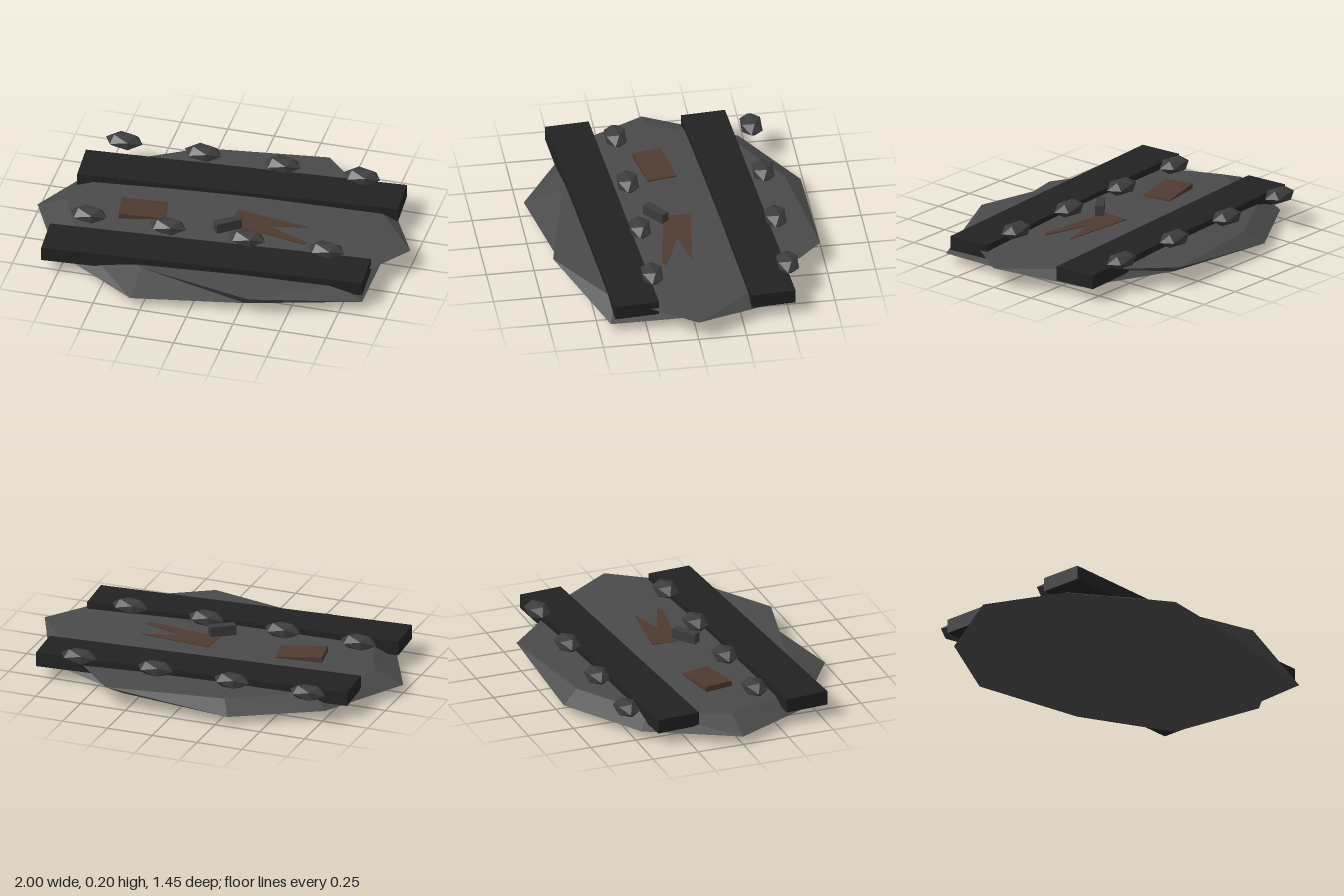
import * as THREE from 'three';

const mat = (name, color, extra = {}) => {
  const m = new THREE.MeshStandardMaterial({ color, flatShading: true, ...extra });
  m.name = name;
  return m;
};

// Rough slab: two uneven ten-sided rings, closed by a low peak above and below
function slabGeometry() {
  const upper = [[1, 0], [0.72, 0.4], [0.31, 0.66], [-0.3, 0.52], [-0.7, 0.33],
    [-0.84, 0], [-0.66, -0.4], [-0.26, -0.64], [0.37, -0.73], [0.7, -0.39]];
  const lower = [[0.86, 0], [0.86, 0.44], [0.28, 0.61], [-0.31, 0.72], [-0.8, 0.4],
    [-1, 0], [-0.75, -0.47], [-0.31, -0.73], [0.31, -0.64], [0.8, -0.42]];
  const at = (ring, i, y) => [ring[i % 10][0], y, ring[i % 10][1]];
  const top = [0, 0.13, 0], bottom = [0, 0, 0], pos = [];
  for (let i = 0; i < 10; i++) {
    const u0 = at(upper, i, 0.105), u1 = at(upper, i + 1, 0.105);
    const l0 = at(lower, i, 0.045), l1 = at(lower, i + 1, 0.045);
    pos.push(...top, ...u1, ...u0);
    pos.push(...l0, ...u0, ...u1, ...l0, ...u1, ...l1);
    pos.push(...bottom, ...l0, ...l1);
  }
  const g = new THREE.BufferGeometry();
  g.setAttribute('position', new THREE.Float32BufferAttribute(pos, 3));
  g.computeVertexNormals();
  return g;
}

export function createModel() {
  const model = new THREE.Group();
  model.name = 'trackSegment';
  const slabGrey = mat('slabGrey', 0x4a4a4a);
  const railBlack = mat('railBlack', 0x222222);
  const stoneGrey = mat('stoneGrey', 0x3c3c3c);
  const rustBrown = mat('rustBrown', 0x4e3a30);

  const add = (name, geometry, material, x, y, z) => {
    const mesh = new THREE.Mesh(geometry, material);
    mesh.name = name;
    mesh.position.set(x, y, z);
    model.add(mesh);
    return mesh;
  };

  add('slab', slabGeometry(), slabGrey, 0, 0, 0);

  // Two parallel bars, slightly skewed across the slab
  const barGeo = new THREE.BoxGeometry(1.694, 0.076, 0.232);
  for (const [name, z] of [['backBar', -0.357], ['frontBar', 0.357]]) {
    add(name, barGeo, railBlack, 0, 0.106, z).rotation.y = 0.068;
  }

  // Two rows of flattened faceted stones
  const stoneGeo = new THREE.IcosahedronGeometry(1, 0);
  stoneGeo.rotateY(0.35);
  stoneGeo.scale(0.104, 0.042, 0.065);
  for (const [row, z] of [['back', -0.525], ['front', 0.185]]) {
    [-0.677, -0.253, 0.172, 0.598].forEach((x, i) => {
      add(`${row}Stone${i + 1}`, stoneGeo, stoneGrey, x, 0.16, z);
    });
  }

  // Rust plate, raised at its outer end and sinking into the slab
  const plate = add('rustPlate', new THREE.BoxGeometry(0.245, 0.03, 0.155), rustBrown, -0.427, 0.119, 0.018);
  plate.rotation.set(0, 0.18, -0.064);

  // Forked rust patch lying on the slab
  const fork = new THREE.Shape([[0.05, -0.1], [0.44, -0.05], [0.24, 0.0], [0.47, 0.09], [0.45, 0.11], [0.04, 0.04]]
    .map(([x, z]) => new THREE.Vector2(x, -z)));
  const forkGeo = new THREE.ExtrudeGeometry(fork, { depth: 0.006, bevelEnabled: false });
  forkGeo.rotateX(-Math.PI / 2);
  add('rustFork', forkGeo, rustBrown, 0, 0.126, 0).rotation.z = -0.022;

  // Small loose block
  add('looseBlock', new THREE.BoxGeometry(0.14, 0.055, 0.045), stoneGrey, 0.043, 0.155, 0.083).rotation.y = 0.65;

  return model;
}
